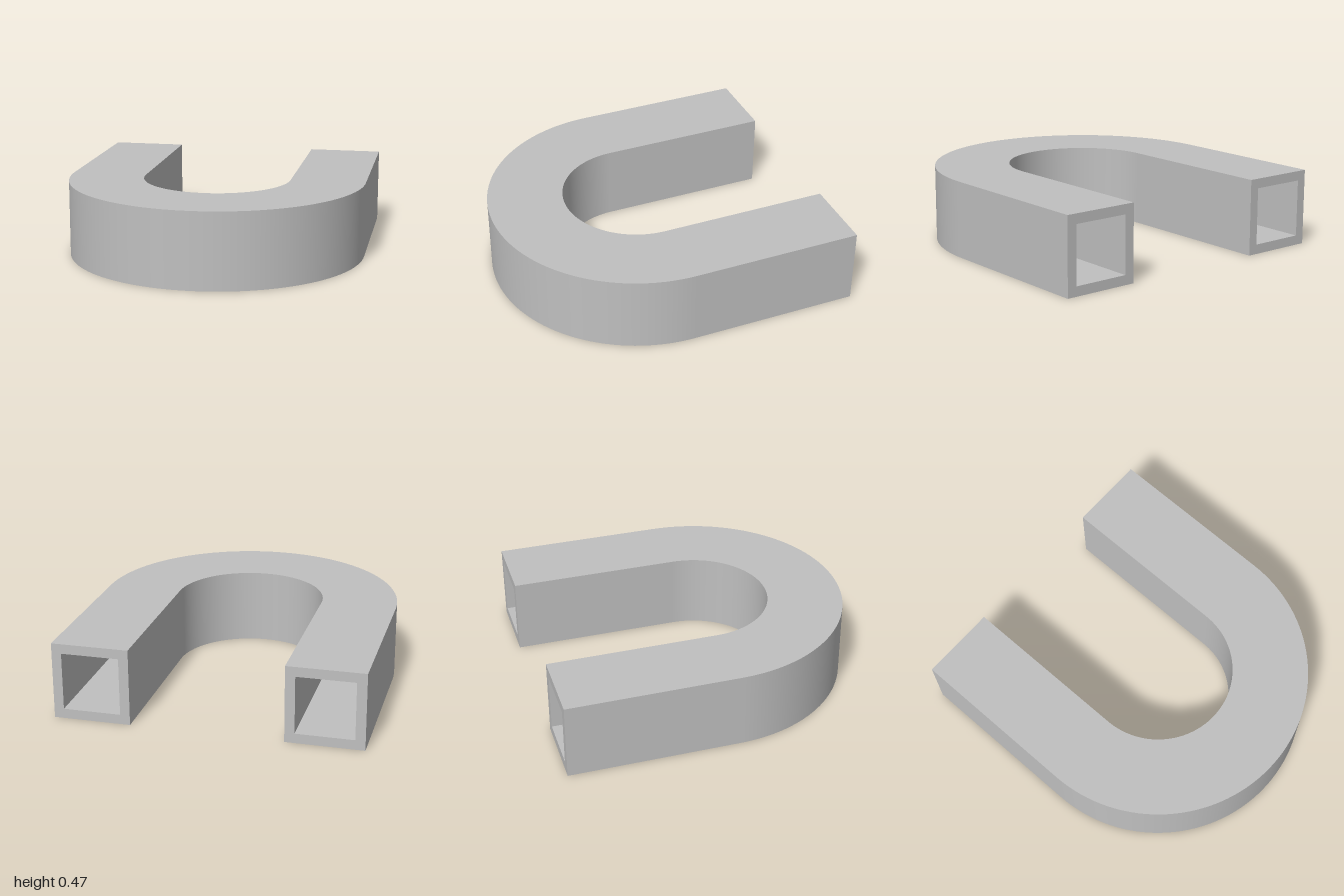
import * as THREE from 'three';

const OUTER = 0.94, INNER = 0.467, HEIGHT = 0.475, WALL = 0.06;
const BACK = -1, BEND_Z = 0.06, SEGMENTS = 64;

// Stations along the U: a pivot z and the direction from the pivot to the wall
function uPath() {
  const stations = [{ z: BACK, nx: -1, nz: 0 }];
  for (let i = 0; i <= SEGMENTS; i++) {
    const a = Math.PI * (1 - i / SEGMENTS);
    stations.push({ z: BEND_Z, nx: Math.cos(a), nz: Math.sin(a) });
  }
  stations.push({ z: BACK, nx: 1, nz: 0 });
  return stations;
}

// Sweeps a closed (radius, height) section along the U, with sharp section corners
function sweep(section) {
  const positions = [], normals = [], index = [];
  const path = uPath();
  section.forEach(([r0, y0], k) => {
    const [r1, y1] = section[(k + 1) % section.length];
    const length = Math.hypot(r1 - r0, y1 - y0);
    const nr = (y1 - y0) / length, ny = -(r1 - r0) / length;
    const base = positions.length / 3;
    path.forEach(({ z, nx, nz }, i) => {
      positions.push(nx * r0, y0, z + nz * r0, nx * r1, y1, z + nz * r1);
      for (let j = 0; j < 2; j++) normals.push(nx * nr, ny, nz * nr);
      if (i === 0) return;
      const b = base + 2 * i, a = b - 2;
      index.push(a, b, a + 1, b, b + 1, a + 1);
    });
  });
  const geometry = new THREE.BufferGeometry();
  geometry.setAttribute('position', new THREE.Float32BufferAttribute(positions, 3));
  geometry.setAttribute('normal', new THREE.Float32BufferAttribute(normals, 3));
  geometry.setIndex(index);
  return geometry;
}

// Rectangle section, counter-clockwise, shrunk by an inset
const rectangle = (inset) => [
  [INNER + inset, inset], [OUTER - inset, inset],
  [OUTER - inset, HEIGHT - inset], [INNER + inset, HEIGHT - inset],
];

export function createModel() {
  const group = new THREE.Group();
  group.name = 'squareTubeBend';
  const steel = new THREE.MeshStandardMaterial({ color: 0xc0c0c0 });
  steel.name = 'steelGrey';

  const add = (name, geometry) => {
    const mesh = new THREE.Mesh(geometry, steel);
    mesh.name = name;
    group.add(mesh);
    return mesh;
  };

  // Outside of the tube, and the hollow inside facing inward
  add('outerTube', sweep(rectangle(0)));
  add('innerBore', sweep(rectangle(WALL).reverse()));

  // Rims around the two open ends
  const toPoints = (section) => section.map(([r, y]) => new THREE.Vector2(r - (INNER + OUTER) / 2, y));
  const rim = new THREE.Shape(toPoints(rectangle(0)));
  rim.holes.push(new THREE.Path(toPoints(rectangle(WALL).reverse())));
  const rimGeometry = new THREE.ShapeGeometry(rim).rotateY(Math.PI);
  for (const [name, side] of [['leftEndRim', 1], ['rightEndRim', -1]]) {
    add(name, rimGeometry).position.set(side * (INNER + OUTER) / 2, 0, BACK);
  }
  return group;
}
